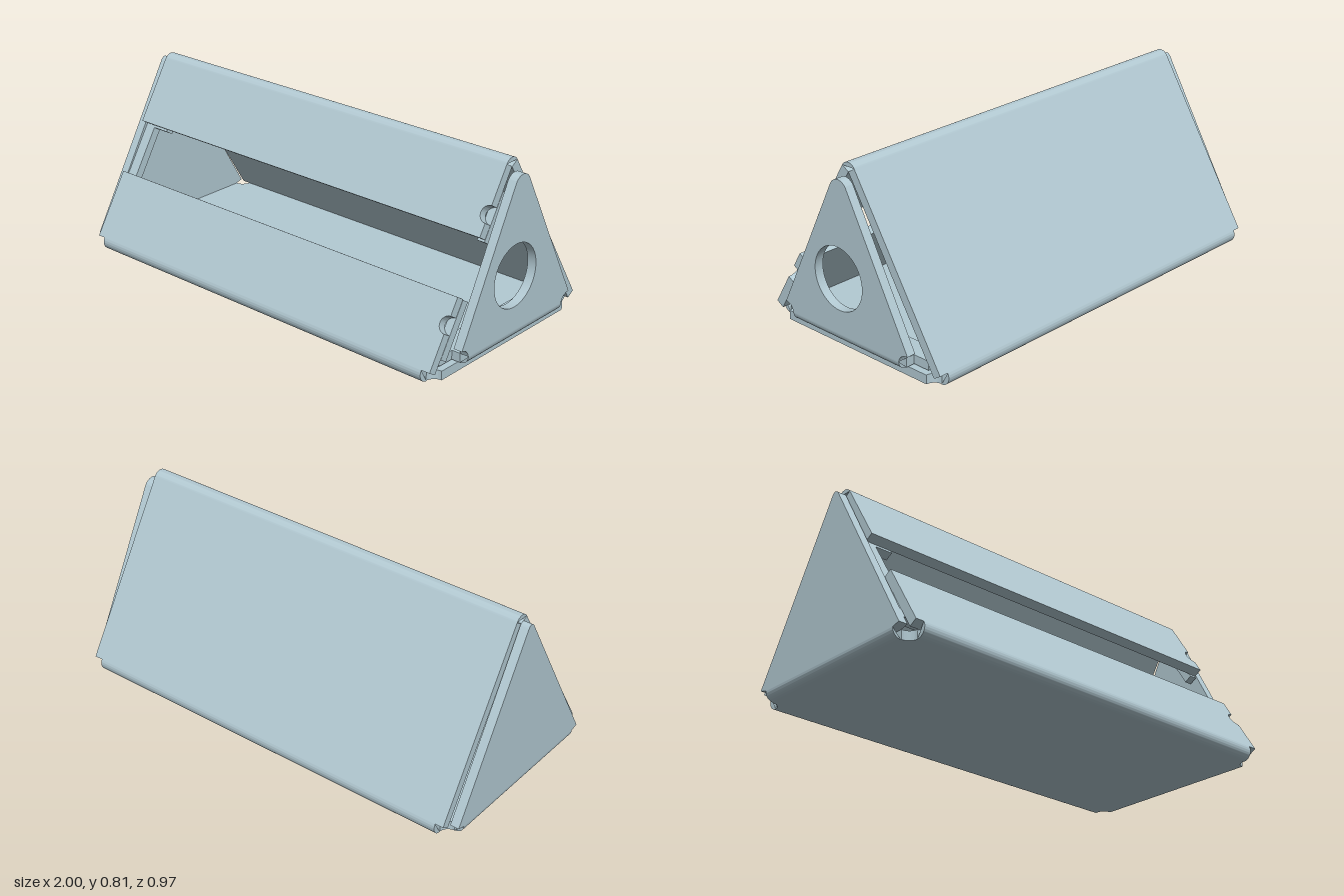
import * as THREE from 'three';
import { toCreasedNormals } from 'three/addons/utils/BufferGeometryUtils.js';

const T = 0.04;                 // sheet thickness and bend radius
const XL = -0.955, XR = 0.945;  // ends of the folded shell
const APEX = 0.765, HALF = 0.445;
const LEN = Math.hypot(HALF, APEX - T);
const TILT = Math.atan2(HALF, APEX - T);

export function createModel() {
  const model = new THREE.Group();
  const steel = new THREE.MeshStandardMaterial({ color: 0xb3cad3 });
  steel.name = 'pale blue steel';

  const extrude = (name, shape, depth, parent = model) => {
    const geo = new THREE.ExtrudeGeometry(shape, { depth, bevelEnabled: false, curveSegments: 20 });
    const mesh = new THREE.Mesh(toCreasedNormals(geo, 0.5), steel);
    mesh.name = name;
    parent.add(mesh);
    return mesh;
  };
  const rect = (x0, y0, x1, y1) => new THREE.Shape([
    new THREE.Vector2(x0, y0), new THREE.Vector2(x1, y0),
    new THREE.Vector2(x1, y1), new THREE.Vector2(x0, y1)]);
  const sector = (x, y, a0, a1) => {
    const s = new THREE.Shape();
    s.moveTo(x, y);
    s.absarc(x, y, T, a0, a1, false);
    s.closePath();
    return s;
  };
  // Extrude a (z, y) section along x, from x0 to x1
  const alongX = (name, shape, x0, x1) => {
    const mesh = extrude(name, shape, x1 - x0);
    mesh.rotation.y = -Math.PI / 2;
    mesh.position.x = x1;
    return mesh;
  };

  // Sloping walls: local y runs down from the apex, local z points outward
  const front = new THREE.Group();
  front.name = 'frontWall';
  front.position.y = APEX;
  front.rotation.x = -TILT;
  const back = new THREE.Group();
  back.name = 'backWall';
  back.position.y = APEX;
  back.rotation.set(-TILT, Math.PI, 0, 'YXZ');
  model.add(front, back);

  // Front panel with a round relief notch in its right edge
  const notched = (top, bottom, notch) => {
    const s = new THREE.Shape();
    s.moveTo(XL, -top);
    s.lineTo(XL, -bottom);
    s.lineTo(XR, -bottom);
    s.lineTo(XR, -notch - 0.036);
    s.absarc(XR, -notch, 0.036, 1.5 * Math.PI, 0.5 * Math.PI, true);
    s.lineTo(XR, -top);
    s.closePath();
    return s;
  };
  extrude('upperFrontPanel', notched(0, 0.3, 0.205), T, front);
  extrude('lowerFrontPanel', notched(0.541, LEN, 0.655), T, front);
  extrude('backPanel', rect(-XR, -LEN, -XL, 0), T, back);

  // Flanges folded in behind the front panels
  const flanges = [
    ['leftFlangeSpine', -0.965, -0.91, 0.1, 0.79],
    ['leftUpperFlange', -0.91, -0.83, 0.1, 0.31],
    ['leftLowerFlange', -0.91, -0.83, 0.555, 0.79],
    ['rightUpperFlange', 0.91, 0.945, 0.1, 0.31],
    ['rightLowerFlange', 0.91, 0.945, 0.545, 0.79],
  ];
  for (const [name, x0, x1, v0, v1] of flanges) {
    extrude(name, rect(x0, -v1, x1, -v0), T - 0.002, front).position.z = -T;
  }

  // Base sheet with rounded corner reliefs
  const b = new THREE.Shape();
  const r = 0.042;
  b.moveTo(-0.96 + r, -HALF);
  b.lineTo(XR - r, -HALF);
  b.absarc(XR, -HALF, r, Math.PI, Math.PI / 2, true);
  b.lineTo(XR, HALF - r);
  b.absarc(XR, HALF, r, 1.5 * Math.PI, Math.PI, true);
  b.lineTo(-0.96 + r, HALF);
  b.absarc(-0.96, HALF, r, 0, -Math.PI / 2, true);
  b.lineTo(-0.96, -HALF + r);
  b.absarc(-0.96, -HALF, r, Math.PI / 2, 0, true);
  const base = extrude('baseSheet', b, T);
  base.rotation.x = Math.PI / 2;
  base.position.y = T;

  // Rounded folds along the three long edges
  alongX('apexFold', sector(0, APEX, TILT, Math.PI - TILT), XL, XR);
  alongX('frontBaseFold', sector(HALF, T, -Math.PI / 2, TILT), -0.918, 0.905);
  alongX('backBaseFold', sector(-HALF, T, Math.PI - TILT, 1.5 * Math.PI), -0.918, 0.905);

  // Solid left end plate, folded up from the base
  const plate = new THREE.Shape();
  plate.moveTo(-0.4, T);
  plate.lineTo(0.4, T);
  plate.lineTo(0.436, 0.05);
  plate.lineTo(0.02, 0.765);
  plate.quadraticCurveTo(0, 0.795, -0.02, 0.765);
  plate.lineTo(-0.436, 0.05);
  plate.closePath();
  alongX('leftEndPlate', plate, -1, -0.96);
  extrude('leftEndFold', sector(-0.96, T, Math.PI, 1.5 * Math.PI), 0.8).position.z = -0.4;

  // Right end cap with a round hole and scalloped lower corners
  const cap = new THREE.Shape();
  cap.moveTo(-0.31, 0.085);
  cap.lineTo(0.31, 0.085);
  cap.quadraticCurveTo(0.315, 0.118, 0.352, 0.122);
  cap.lineTo(0.045, 0.722);
  cap.absarc(0, 0.7, 0.05, 0.47, Math.PI - 0.47, false);
  cap.lineTo(-0.36, 0.122);
  cap.quadraticCurveTo(-0.315, 0.118, -0.31, 0.085);
  const hole = new THREE.Path();
  hole.absarc(0.022, 0.327, 0.137, 0, Math.PI * 2, true);
  cap.holes.push(hole);
  alongX('rightEndCap', cap, 0.96, 1);
  extrude('rightCapFold', sector(0.96, 0.085, -Math.PI / 2, 0), 0.62).position.z = -0.31;
  extrude('rightCapFoot', rect(0.83, 0.045, 0.96, 0.085), 0.62).position.z = -0.31;
  extrude('rightCapFootInner', rect(0.83, 0.045, 0.92, 0.085), 0.78).position.z = -0.39;

  return model;
}
